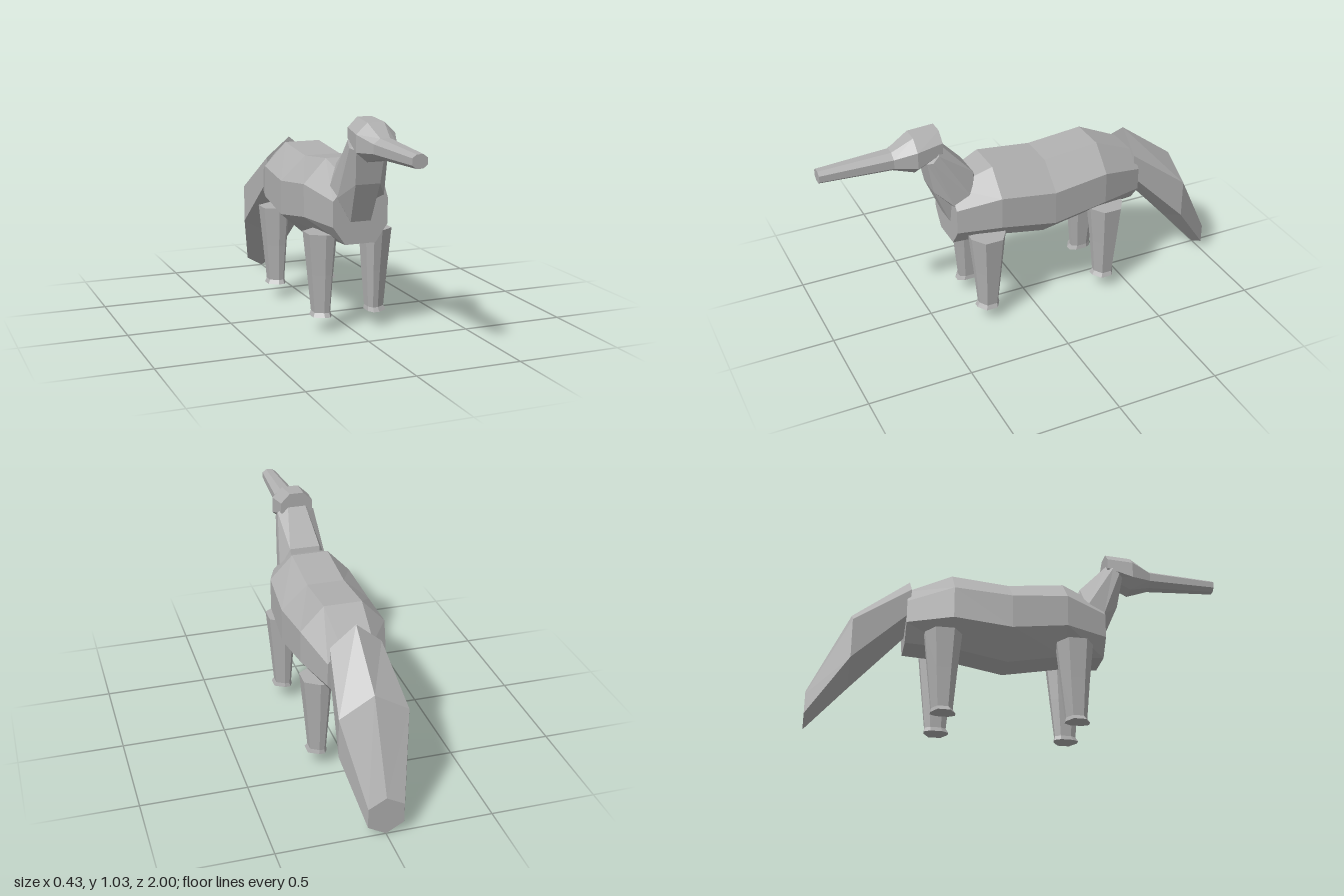
import * as THREE from 'three';

const fur = new THREE.MeshStandardMaterial({ color: 0xb0b0b0, flatShading: true });
fur.name = 'grey fur';

// Full ring from its +x half, listed top to bottom; points on x = 0 are not doubled.
function mirrorRing(half) {
  const other = half.filter(p => p[0] > 0).map(([x, y, z]) => [-x, y, z]).reverse();
  return [...half, ...other];
}

// Cross-section at one depth: list of [x, y] pairs.
const slice = (z, pts) => mirrorRing(pts.map(([x, y]) => [x, y, z]));

// Closed faceted skin through rings of equal length, turned outward by its volume.
function loft(name, rings) {
  const tris = [];
  const n = rings[0].length;
  for (let r = 0; r < rings.length - 1; r++) {
    for (let i = 0; i < n; i++) {
      const j = (i + 1) % n;
      const a = rings[r][i], b = rings[r][j], c = rings[r + 1][j], d = rings[r + 1][i];
      tris.push([a, b, c], [a, c, d]);
    }
  }
  const first = rings[0], last = rings[rings.length - 1];
  for (let i = 1; i < n - 1; i++) {
    tris.push([first[0], first[i + 1], first[i]], [last[0], last[i], last[i + 1]]);
  }
  const v = p => new THREE.Vector3(...p);
  const volume = tris.reduce((s, [a, b, c]) => s + v(a).dot(v(b).cross(v(c))), 0);
  const faces = volume < 0 ? tris.map(([a, b, c]) => [a, c, b]) : tris;
  const geo = new THREE.BufferGeometry();
  geo.setAttribute('position', new THREE.Float32BufferAttribute(faces.flat(2), 3));
  geo.computeVertexNormals();
  const mesh = new THREE.Mesh(geo, fur);
  mesh.name = name;
  return mesh;
}

// Tapered leg with a small foot flaring forward.
function leg(name, side, z) {
  const outline = [[1, 0.5], [0, 1], [-0.62, 1], [-1, 0.5], [-1, -0.5], [-0.62, -1], [0, -1], [1, -0.5]];
  // y, centre x, half width, centre z offset, half depth
  const levels = [
    [0.475, 0.141, 0.066, 0, 0.088],
    [0.28, 0.138, 0.052, 0, 0.068],
    [0.095, 0.136, 0.039, 0.002, 0.05],
    [0.075, 0.139, 0.046, 0.007, 0.058],
  ];
  return loft(name, levels.map(([y, cx, w, dz, d]) =>
    outline.map(([u, t]) => [side * (cx + u * w), y, z + dz + t * d])));
}

export function createModel() {
  const model = new THREE.Group();
  model.name = 'longSnoutedAnimal';

  // Barrel body, nose end to tail end
  model.add(loft('body', [
    slice(0.40, [[0.06, 0.73], [0.135, 0.645], [0.135, 0.525], [0.075, 0.44]]),
    slice(0.20, [[0.09, 0.81], [0.20, 0.695], [0.20, 0.54], [0.08, 0.43]]),
    slice(-0.07, [[0.09, 0.78], [0.215, 0.665], [0.215, 0.50], [0.08, 0.38]]),
    slice(-0.345, [[0.09, 0.805], [0.20, 0.69], [0.20, 0.535], [0.08, 0.43]]),
    slice(-0.56, [[0.075, 0.71], [0.135, 0.63], [0.135, 0.52], [0.075, 0.44]]),
  ]));

  // Neck, rising forward out of the chest
  model.add(loft('neck', [
    [[0.06, 0.66, 0.25], [0.08, 0.62, 0.28], [0.08, 0.58, 0.34], [0.05, 0.545, 0.402]],
    [[0.075, 0.80, 0.29], [0.122, 0.69, 0.315], [0.115, 0.66, 0.40], [0.06, 0.73, 0.48]],
    [[0.045, 0.96, 0.435], [0.092, 0.93, 0.46], [0.095, 0.90, 0.49], [0.07, 0.89, 0.51]],
  ].map(mirrorRing)));

  // Head and long snout
  model.add(loft('head', [
    slice(0.435, [[0.035, 1.03], [0.08, 0.985], [0.08, 0.935], [0.035, 0.91]]),
    slice(0.56, [[0.04, 1.02], [0.093, 0.97], [0.093, 0.89], [0.04, 0.845]]),
    slice(0.66, [[0.023, 0.963], [0.055, 0.94], [0.055, 0.897], [0.023, 0.873]]),
    slice(1.0, [[0.015, 0.947], [0.035, 0.932], [0.035, 0.902], [0.015, 0.887]]),
  ]));

  // Drooping ridged tail
  model.add(loft('tail', [
    slice(-0.54, [[0, 0.80], [0.12, 0.70], [0.12, 0.58], [0, 0.52]]),
    slice(-0.81, [[0, 0.595], [0.16, 0.50], [0.16, 0.31], [0, 0.22]]),
    slice(-1.0, [[0, 0.19], [0.083, 0.145], [0.083, 0.05], [0, 0.003]]),
  ]));

  // Four legs
  for (const [label, side] of [['Left', 1], ['Right', -1]]) {
    model.add(leg('front' + label + 'Leg', side, 0.245));
    model.add(leg('back' + label + 'Leg', side, -0.385));
  }
  return model;
}
